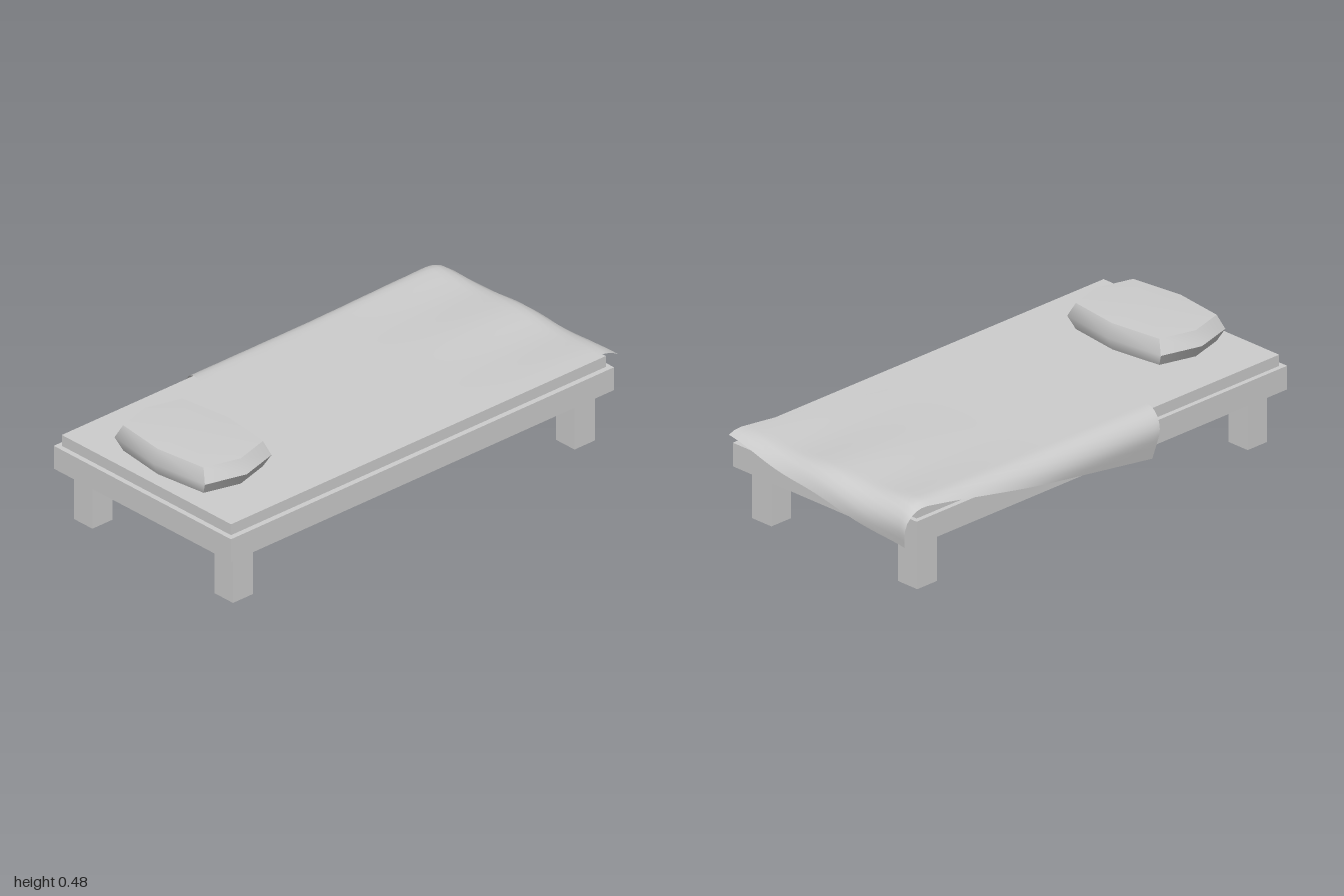
import * as THREE from 'three';
import { toCreasedNormals } from 'three/addons/utils/BufferGeometryUtils.js';

export function createModel() {
  const model = new THREE.Group();
  model.name = 'bed';
  const grey = new THREE.MeshStandardMaterial({ color: 0xcccccc });
  grey.name = 'light grey';
  const clothGrey = grey.clone();
  clothGrey.name = 'light grey cloth';
  clothGrey.side = THREE.DoubleSide;

  function add(name, geometry, material = grey) {
    const mesh = new THREE.Mesh(geometry, material);
    mesh.name = name;
    model.add(mesh);
    return mesh;
  }

  // Box given by its limits on each axis
  function addBox(name, x0, x1, y0, y1, z0, z1) {
    add(name, new THREE.BoxGeometry(x1 - x0, y1 - y0, z1 - z0))
      .position.set((x0 + x1) / 2, (y0 + y1) / 2, (z0 + z1) / 2);
  }

  addBox('frame', -1, 0.935, 0.214, 0.311, -0.465, 0.505);
  addBox('mattress', -0.978, 0.915, 0.311, 0.357, -0.445, 0.482);
  for (const x of [-0.945, 0.78]) {
    for (const z of [-0.415, 0.355]) addBox('leg', x, x + 0.102, 0, 0.214, z, z + 0.102);
  }

  // Pillow: eight-sided lathe stretched to a soft rectangle
  const profile = [[0, 0.357], [0.89, 0.36], [1, 0.412], [0.89, 0.467], [0, 0.476]]
    .map(([r, y]) => new THREE.Vector2(r, y));
  const pillow = new THREE.LatheGeometry(profile, 8);
  const pp = pillow.attributes.position;
  for (let i = 0; i < pp.count; i++) {
    const x = pp.getX(i), z = pp.getZ(i);
    const corner = Math.abs(x * z) > 0.01 ? 1.19 : 1;
    pp.setX(i, x * 0.2 * corner);
    pp.setZ(i, z * 0.294 * corner);
  }
  add('pillow', toCreasedNormals(pillow, 0.9)).position.set(-0.744, 0, 0.02);

  // Rolls a flat overhang s around an edge of radius r: [outward, down]
  function roll(s, r) {
    if (s <= 0) return [s, 0];
    const limit = 1.75, a = Math.min(s / r, limit), rest = Math.max(0, s - r * limit);
    return [
      r * Math.sin(a) + rest * Math.cos(limit),
      r * (1 - Math.cos(a)) + rest * Math.sin(limit),
    ];
  }

  // Blanket: skewed flat sheet draped over the back and foot edges
  const frontHead = new THREE.Vector2(-0.45, 0.21), frontFoot = new THREE.Vector2(0.965, 0.5);
  const backHead = new THREE.Vector2(-0.273, -0.655), backFoot = new THREE.Vector2(1.11, -0.435);
  const blanket = new THREE.PlaneGeometry(1, 1, 48, 36);
  const bp = blanket.attributes.position;
  for (let i = 0; i < bp.count; i++) {
    const u = bp.getX(i) + 0.5, v = bp.getY(i) + 0.5;
    const p = frontHead.clone().lerp(frontFoot, u).lerp(backHead.clone().lerp(backFoot, u), v);
    const footEdge = 0.905 - 0.02 * Math.min(0, p.y / 0.45) ** 2;
    const [dx, downX] = roll(p.x - footEdge, 0.093);
    const [dz, downZ] = roll(-0.42 - p.y, 0.085);
    const lift = THREE.MathUtils.smoothstep(p.x, 0.2, 0.9);
    const y = 0.363 + lift * (0.006 + 0.005 * Math.cos(14 * p.y)) - downX - downZ;
    bp.setXYZ(i, footEdge + dx, y, -0.42 - dz);
  }
  blanket.computeVertexNormals();
  add('blanket', blanket, clothGrey);

  return model;
}
